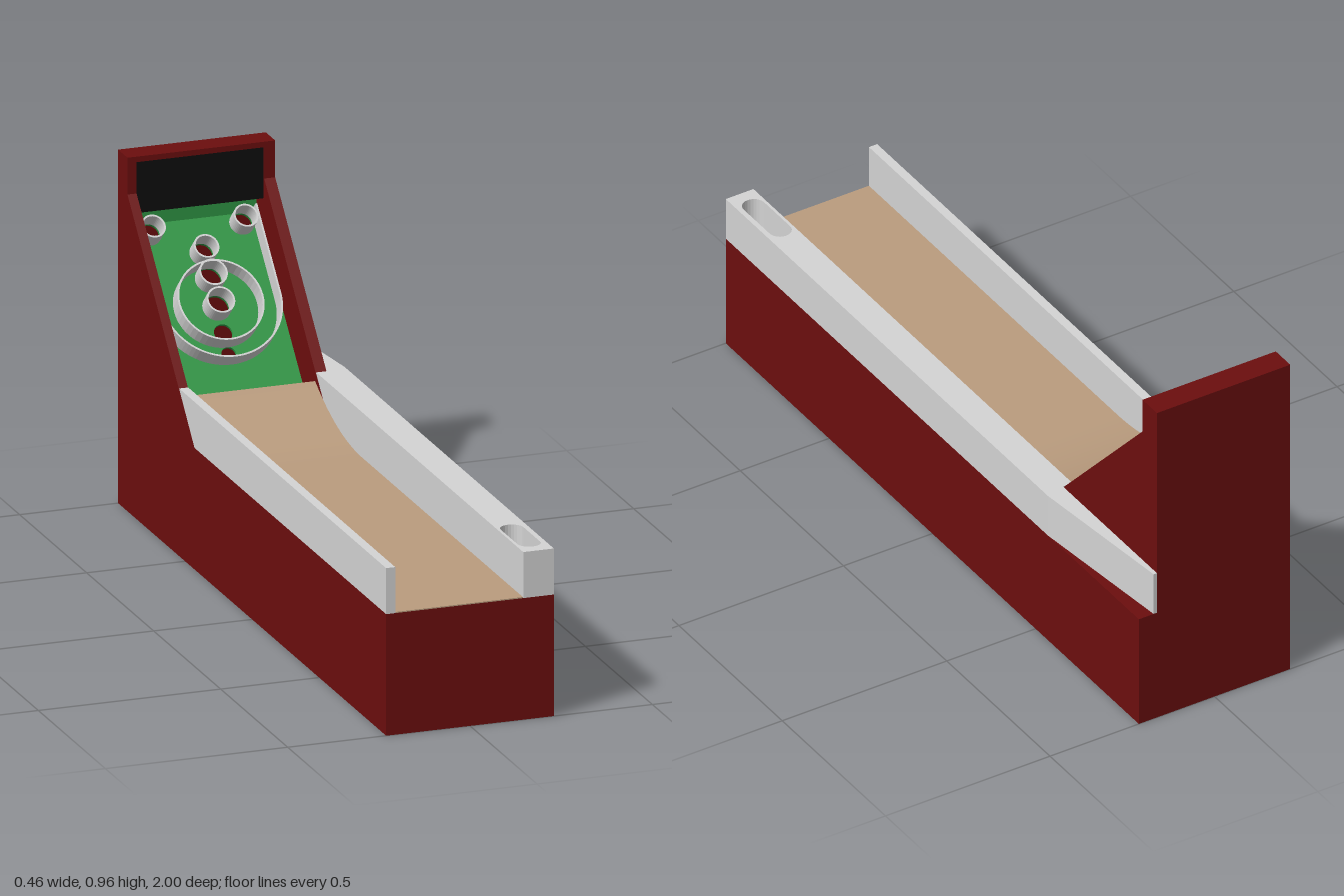
import * as THREE from 'three';

const mat = (name, color, side = THREE.FrontSide) => {
  const m = new THREE.MeshStandardMaterial({ color, side });
  m.name = name;
  return m;
};

export function createModel() {
  const red = mat('cabinet red', 0x6c0e0e);
  const white = mat('rail white', 0xd4d4d4);
  const tan = mat('lane tan', 0xba9c7e);
  const green = mat('board green', 0x2f9644);
  const black = mat('sign black', 0x0e0e0e);

  const model = new THREE.Group();
  model.name = 'alleyRollerGame';

  const add = (name, geometry, material, parent = model) => {
    const mesh = new THREE.Mesh(geometry, material);
    mesh.name = name;
    parent.add(mesh);
    return mesh;
  };
  // Box given by its limits on each axis
  const box = (name, [x0, x1], [y0, y1], [z0, z1], material) =>
    add(name, new THREE.BoxGeometry(x1 - x0, y1 - y0, z1 - z0), material)
      .position.set((x0 + x1) / 2, (y0 + y1) / 2, (z0 + z1) / 2);
  const polygon = (points) => new THREE.Shape(points.map(([a, b]) => new THREE.Vector2(a, b)));
  const extrude = (shape, depth, curveSegments = 24) =>
    new THREE.ExtrudeGeometry(shape, { depth, bevelEnabled: false, curveSegments });
  // Side profile of (z, y) points, spanning x0 to x1
  const profile = (name, points, x0, x1, material) =>
    add(name, extrude(polygon(points), x1 - x0).rotateY(-Math.PI / 2).translate(x1, 0, 0), material);

  const deck = 0.33, railTop = 0.455;

  // Cabinet base
  box('base', [-0.23, 0.23], [0, deck], [-1, 1], red);

  // Lane with the jump ramp at its far end
  const lane = [[1, deck], [1, 0.333]];
  const radius = 0.68, steps = 20, sweep = Math.asin(0.35 / radius);
  for (let i = 0; i <= steps; i++) {
    const a = (sweep * i) / steps;
    lane.push([-0.2 - radius * Math.sin(a), 0.333 + radius * (1 - Math.cos(a))]);
  }
  lane.push([-0.55, deck]);
  profile('lane', lane.reverse(), -0.205, 0.145, tan);

  // Narrow rail, cut to meet the sloping side panel
  profile('narrowRail', [[-0.43, deck], [1, deck], [1, railTop], [-0.545, railTop]], -0.23, -0.205, white);

  // Wide ball return rail with a pick-up slot and tapered far end
  const rail = polygon([[0.146, -1], [0.23, -1], [0.23, 0.56], [0.185, 1], [0.175, 1], [0.175, 0.545], [0.146, 0.545]]);
  const slot = new THREE.Path();
  slot.absarc(0.185, -0.81, 0.031, 0, Math.PI, false);
  slot.absarc(0.185, -0.935, 0.031, Math.PI, Math.PI * 2, false);
  slot.closePath();
  rail.holes.push(slot);
  add('ballReturnRail', extrude(rail, railTop - deck, 6).rotateX(-Math.PI / 2).translate(0, deck, 0), white);

  // Target cabinet
  const side = [[-1, deck], [-0.43, deck], [-0.93, 0.86], [-0.93, 0.96], [-1, 0.96]];
  profile('rightSidePanel', side, -0.23, -0.205, red);
  profile('leftSidePanel', side, 0.145, 0.175, red);
  box('backPanel', [-0.205, 0.145], [deck, 0.945], [-1, -0.994], red);
  box('topPanel', [-0.205, 0.145], [0.945, 0.96], [-1, -0.93], red);
  box('signPanel', [-0.205, 0.145], [0.805, 0.945], [-0.944, -0.935], black);
  box('boardBackstop', [-0.205, 0.145], [0.75, 0.9], [-0.994, -0.988], green);

  // Sloping target board: local y runs up the slope, local z is its normal
  const target = new THREE.Group();
  target.name = 'targetBoard';
  target.position.set(-0.03, 0.568, -0.81);
  target.rotation.x = -0.767;
  model.add(target);

  const wallHeight = 0.047, wall = 0.005;
  // x, y, outer radius
  const cups = [[0, 0, 0.038], [0, 0.08, 0.038], [0, 0.155, 0.034], [-0.127, 0.228, 0.033], [0.127, 0.228, 0.033]];
  const openHoles = [[0, -0.074, 0.025], [0, -0.135, 0.02]];
  const circle = (x, y, r) => new THREE.Path().absarc(x, y, r, 0, Math.PI * 2, false);

  const board = polygon([[-0.175, -0.29], [0.175, -0.29], [0.175, 0.262], [-0.175, 0.262]]);
  cups.forEach(([x, y, r]) => board.holes.push(circle(x, y, r - wall)));
  openHoles.forEach(([x, y, r]) => board.holes.push(circle(x, y, r)));
  add('board', extrude(board, 0.008).translate(0, 0, -0.008), green, target);

  // Cups and the large scoring ring
  const ring = (name, x, y, r) => {
    const shape = new THREE.Shape();
    shape.absarc(x, y, r, 0, Math.PI * 2, false);
    shape.holes.push(circle(x, y, r - wall));
    add(name, extrude(shape, wallHeight), white, target);
  };
  cups.forEach(([x, y, r], i) => ring('cup' + (i + 1), x, y, r));
  ring('scoringRing', 0, 0, 0.116);

  // U-shaped outer wall
  const outer = 0.165, inner = outer - wall, armTop = 0.258;
  const guard = new THREE.Shape();
  guard.moveTo(-outer, armTop);
  guard.lineTo(-outer, 0);
  guard.absarc(0, 0, outer, Math.PI, Math.PI * 2, false);
  guard.lineTo(outer, armTop);
  guard.lineTo(inner, armTop);
  guard.lineTo(inner, 0);
  guard.absarc(0, 0, inner, Math.PI * 2, Math.PI, true);
  guard.lineTo(-inner, armTop);
  guard.closePath();
  add('outerGuard', extrude(guard, wallHeight), white, target);

  return model;
}
